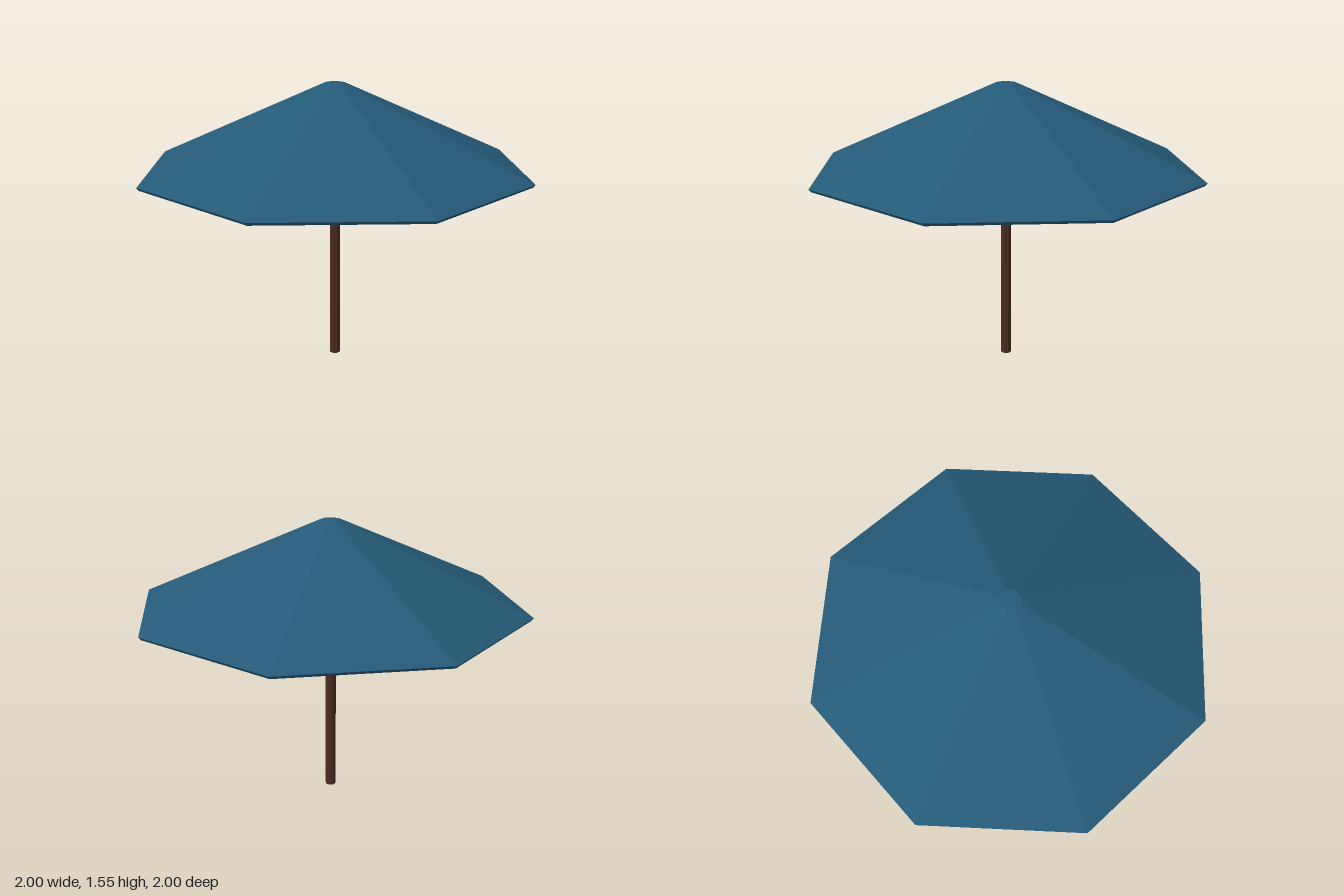
import * as THREE from 'three';

export function createModel() {
  const model = new THREE.Group();
  const canvas = new THREE.MeshStandardMaterial({ color: 0x255a78, flatShading: true });
  canvas.name = 'blue canvas';
  const wood = new THREE.MeshStandardMaterial({ color: 0x4a2c22, flatShading: true });
  wood.name = 'dark wood';

  const sides = 8;
  const turn = THREE.MathUtils.degToRad(25);

  // Eight-sided canopy: a thin shell, from the underside around the rim to the flat top
  const profile = [
    [0, 1.53], [0.05, 1.53], [1.053, 1.085], [1.064, 1.1], [0.053, 1.553], [0, 1.553],
  ].map(([r, y]) => new THREE.Vector2(r, y));
  const canopy = new THREE.Mesh(new THREE.LatheGeometry(profile, sides, turn), canvas);
  canopy.name = 'canopy';
  model.add(canopy);

  // Pole, reaching up to the inside of the canopy
  const height = 1.54;
  const pole = new THREE.Mesh(
    new THREE.CylinderGeometry(0.03, 0.03, height, sides, 1, false, turn), wood);
  pole.position.y = height / 2;
  pole.name = 'pole';
  model.add(pole);

  return model;
}
